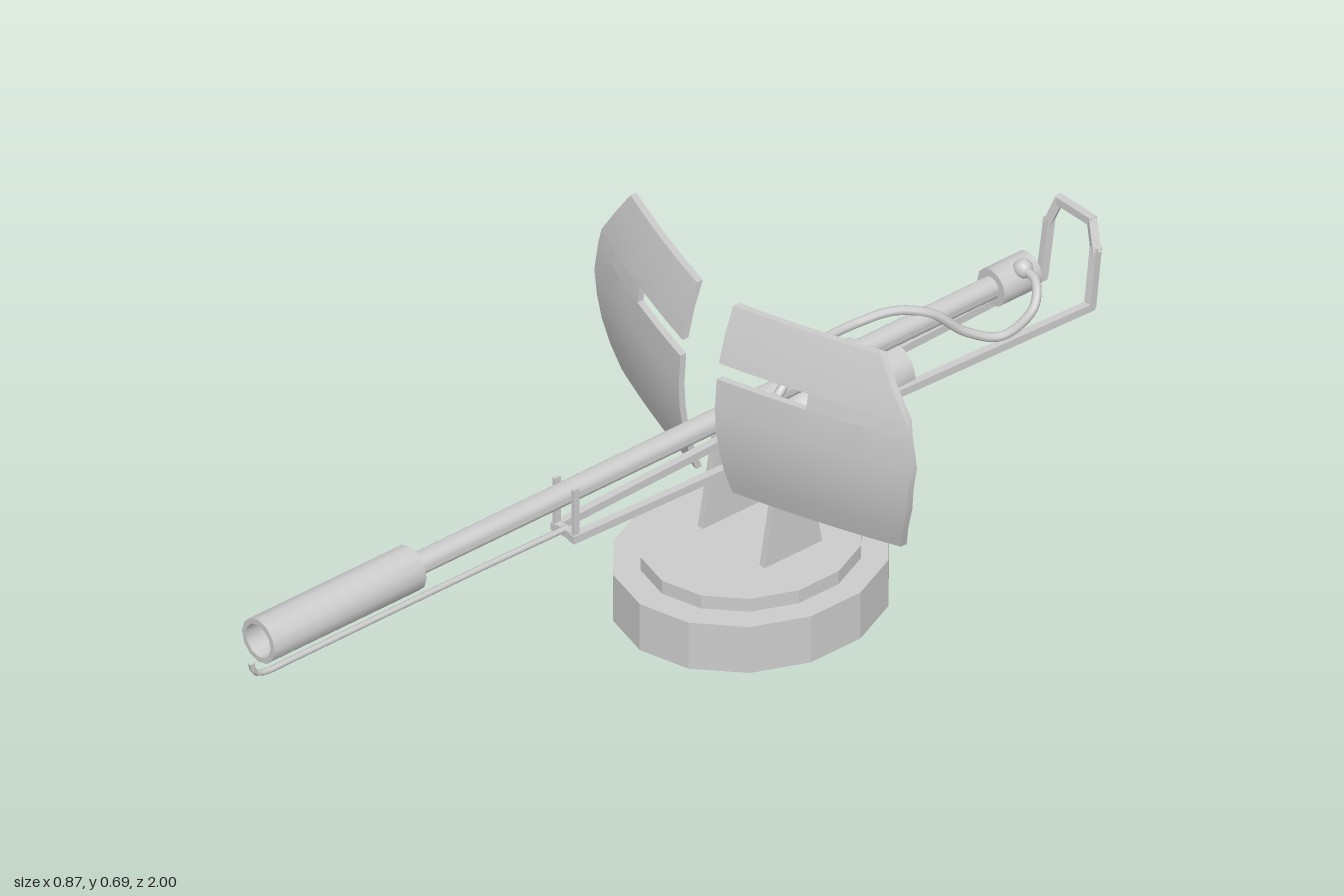
import * as THREE from 'three';
import { mergeGeometries, toCreasedNormals } from 'three/addons/utils/BufferGeometryUtils.js';

const mat = new THREE.MeshStandardMaterial({ color: 0xcccccc });
const flat = new THREE.MeshStandardMaterial({ color: 0xcccccc, flatShading: true });
const V = (x, y, z) => new THREE.Vector3(x, y, z);

export function createModel() {
  const root = new THREE.Group();
  const add = (name, geo, x = 0, y = 0, z = 0, m = mat) => {
    const mesh = new THREE.Mesh(geo, m);
    mesh.name = name;
    mesh.position.set(x, y, z);
    root.add(mesh);
    return mesh;
  };
  // square bar between two points
  const bar = (name, a, b, w = 0.016) => {
    const mesh = add(name, new THREE.BoxGeometry(w, w, a.distanceTo(b) + w * 0.6));
    mesh.position.copy(a).lerp(b, 0.5);
    mesh.lookAt(b);
  };
  // profile of [radius, z] revolved about the gun axis
  const turned = (name, profile, y, sides = 14) => {
    const g = new THREE.LatheGeometry(profile.map(p => new THREE.Vector2(p[0], p[1])), sides);
    g.rotateX(Math.PI / 2);
    return add(name, toCreasedNormals(g, 0.7), 0, y, 0);
  };

  // two-step faceted base
  const step = (name, rx, rz, y0, y1) => {
    const g = new THREE.CylinderGeometry(1, 1, y1 - y0, 14);
    g.scale(rx, 1, rz);
    add(name, g, 0, (y0 + y1) / 2, -0.208, flat);
  };
  step('baseLower', 0.24, 0.267, 0, 0.1);
  step('baseUpper', 0.192, 0.214, 0.1, 0.128);

  // tapered uprights with rounded heads
  const side = new THREE.Shape();
  side.moveTo(0.16, 0.125);
  side.lineTo(0.3, 0.125);
  side.lineTo(0.252, 0.36);
  side.absarc(0.227, 0.36, 0.025, 0, Math.PI, false);
  side.lineTo(0.16, 0.125);
  for (const s of [-1, 1]) {
    const g = new THREE.ExtrudeGeometry(side, { depth: 0.014, bevelEnabled: false, curveSegments: 6 });
    g.translate(0, 0, -0.007);
    g.rotateY(Math.PI / 2);
    add('upright', g, s * 0.085);
  }
  const axle = new THREE.CylinderGeometry(0.014, 0.014, 0.19, 10);
  axle.rotateZ(Math.PI / 2);
  add('trunnionAxle', axle, 0, 0.36, -0.227);
  add('cradleBlock', new THREE.BoxGeometry(0.1, 0.045, 0.1), 0, 0.34, -0.22);

  // barrel, hollow muzzle sleeve and breech
  const AY = 0.42;
  turned('barrel', [[0, -0.8], [0.022, -0.8], [0.022, 0.65], [0, 0.65]], AY);
  turned('muzzleSleeve', [[0.02, 0.61], [0.045, 0.61], [0.045, 0.975], [0.034, 0.975], [0.034, 0.85], [0, 0.85]], AY, 12);
  turned('breech', [[0, -0.875], [0.038, -0.875], [0.038, -0.785], [0, -0.785]], AY, 12);
  add('breechKnob', new THREE.SphereGeometry(0.019, 10, 8), 0.025, 0.45, -0.84);

  // recoil tank with domed front, slung under the barrel
  const tank = [[0, -0.56], [0.05, -0.56], [0.05, -0.34]];
  for (let i = 1; i <= 5; i++) {
    const a = i / 5 * Math.PI / 2;
    tank.push([0.05 * Math.cos(a), -0.34 + 0.05 * Math.sin(a)]);
  }
  turned('tank', tank, 0.345, 16);

  // strap around tank and barrel
  const strap = new THREE.Shape();
  strap.absarc(0, 0.345, 0.054, Math.PI, 2 * Math.PI, false);
  strap.absarc(0, 0.42, 0.03, 0, Math.PI, false);
  const strapGeo = new THREE.ExtrudeGeometry(strap, { depth: 0.04, bevelEnabled: false, curveSegments: 10 });
  add('strap', toCreasedNormals(strapGeo, 0.7), 0, 0, -0.46);

  // cradle rails, front bracket and rear loop
  const loop = s => [V(s * 0.025, 0.335, 0.24), V(s * 0.066, 0.335, -0.965),
    V(s * 0.064, 0.45, -0.98), V(s * 0.045, 0.5, -0.988)];
  for (const s of [-1, 1]) {
    const p = loop(s);
    bar('cradleRail', p[0], p[1]);
    bar('rearLoopSide', p[1], p[2]);
    bar('rearLoopCorner', p[2], p[3]);
    add('bracketPost', new THREE.BoxGeometry(0.007, 0.108, 0.014), s * 0.026, 0.387, 0.236);
  }
  bar('rearLoopTop', loop(-1)[3], loop(1)[3]);
  add('bracketFoot', new THREE.BoxGeometry(0.059, 0.016, 0.014), 0, 0.336, 0.236);

  // rod below the barrel, hooked up at the muzzle
  const rod = new THREE.CatmullRomCurve3([V(0, 0.38, 0.992), V(0, 0.357, 0.985), V(0, 0.346, 0.96),
    V(0, 0.345, 0.9), V(0, 0.345, 0.5), V(0, 0.342, 0.235)]);
  add('frontRod', new THREE.TubeGeometry(rod, 50, 0.006, 8));

  // hose winding from the breech along the barrel
  const hose = new THREE.CatmullRomCurve3([V(0.025, 0.45, -0.84), V(0.065, 0.445, -0.835), V(0.092, 0.41, -0.805),
    V(0.07, 0.365, -0.75), V(0.04, 0.385, -0.69), V(0.015, 0.438, -0.63), V(-0.02, 0.453, -0.57),
    V(-0.05, 0.44, -0.5), V(-0.05, 0.44, -0.43), V(-0.025, 0.458, -0.37), V(0.01, 0.465, -0.31), V(0.025, 0.43, -0.25)]);
  add('hose', new THREE.TubeGeometry(hose, 80, 0.009, 8));

  // curved shield plates with a sight slot open to the middle
  const outline = [[0.29, 0.385], [0.39, 0.42], [0.49, 0.437], [0.585, 0.42], [0.695, 0.345]];
  const outer = y => {
    let i = 0;
    while (i < 3 && y > outline[i + 1][0]) i++;
    const [y0, x0] = outline[i], [y1, x1] = outline[i + 1];
    return x0 + (x1 - x0) * (y - y0) / (y1 - y0);
  };
  const front = (x, y) => {
    const d = x - 0.05, h = (y - 0.49) / 0.2;
    return -0.078 - 0.27 * d - 0.2 * d * d - 0.042 * h * h;
  };
  const blocks = [
    { inner: 0.05, rows: [0.29, 0.34, 0.39, 0.44, 0.49, 0.553] },
    { inner: 0.232, rows: [0.553, 0.585] },
    { inner: 0.05, rows: [0.585, 0.64, 0.695] },
  ];
  for (const s of [-1, 1]) {
    const parts = blocks.map(({ inner, rows }) => {
      const n = rows.length - 1;
      const g = new THREE.BoxGeometry(1, 1, 1, 8, n, 1);
      const p = g.attributes.position;
      for (let i = 0; i < p.count; i++) {
        const y = rows[Math.round((p.getY(i) + 0.5) * n)];
        const x = inner + (outer(y) - inner) * (s * p.getX(i) + 0.5);
        p.setXYZ(i, s * x, y, front(x, y) + (p.getZ(i) - 0.5) * 0.014);
      }
      return g;
    });
    add(s > 0 ? 'leftShield' : 'rightShield', toCreasedNormals(mergeGeometries(parts), 0.6));
    // stay from the cradle to the plate
    bar('shieldStay', V(s * 0.04, 0.345, -0.2), V(s * 0.08, 0.36, -0.122), 0.014);
  }
  return root;
}
